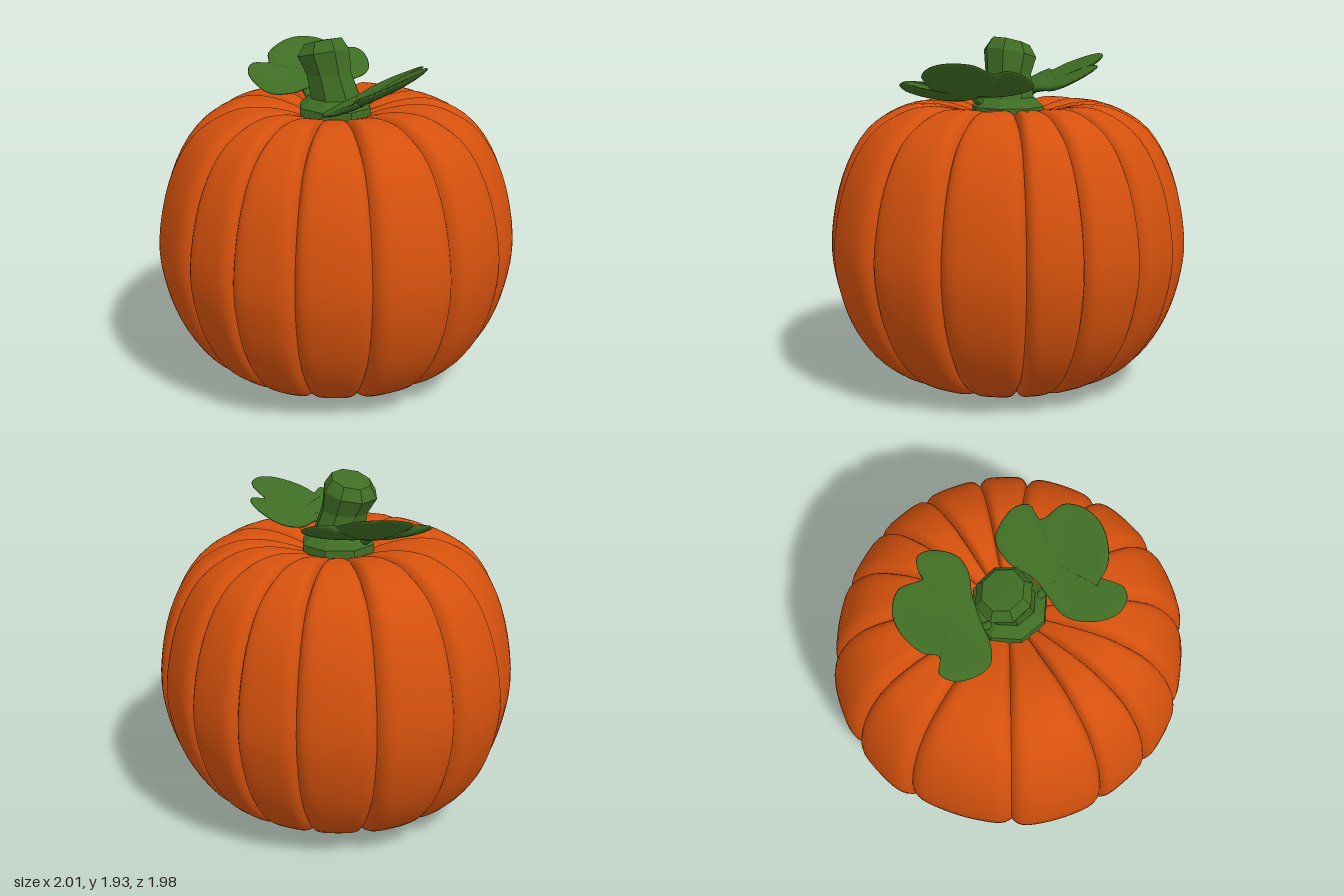
import * as THREE from 'three';
import { mergeGeometries } from 'three/addons/utils/BufferGeometryUtils.js';

const orange = new THREE.MeshStandardMaterial({ color: 0xd5510d });
orange.name = 'pumpkin orange';
const green = new THREE.MeshStandardMaterial({ color: 0x3f6d24 });
green.name = 'leaf green';
const stemGreen = green.clone();
stemGreen.flatShading = true;

// Skin over rows of points, listed from top to bottom
function loft(rows, closed) {
  const n = rows[0].length, pos = [], index = [];
  rows.forEach(row => row.forEach(p => pos.push(p.x, p.y, p.z)));
  for (let i = 0; i < rows.length - 1; i++) {
    for (let j = 0; j < (closed ? n : n - 1); j++) {
      const k = (j + 1) % n;
      const a = i * n + j, b = i * n + k, c = a + n, d = b + n;
      index.push(a, b, c, b, d, c);
    }
  }
  const g = new THREE.BufferGeometry();
  g.setAttribute('position', new THREE.Float32BufferAttribute(pos, 3));
  g.setIndex(index);
  g.computeVertexNormals();
  return g;
}

// Body: one smooth lobe between each pair of grooves, creased where they meet
function makeBody() {
  const profile = new THREE.SplineCurve([
    [0, 1.47], [0.12, 1.48], [0.25, 1.53], [0.42, 1.565], [0.6, 1.545], [0.8, 1.42],
    [0.94, 1.17], [1.007, 0.84], [0.98, 0.58], [0.895, 0.35], [0.75, 0.16], [0.55, 0.045],
    [0.34, 0.005], [0.16, 0.02], [0, 0.035]
  ].map(p => new THREE.Vector2(...p)));
  // groove angle in degrees, and how flat the lobe after it is
  const lobes = [[-90, 0.985], [-69, 0.99], [-51, 0.99], [-25, 1], [0, 1], [27, 0.98], [50.5, 0.99],
    [71, 0.98], [90, 0.985], [121, 0.965], [156, 1], [180, 1], [206.5, 0.98], [231, 0.98], [250.6, 0.985]];
  const ROWS = 56, COLS = 18;
  const parts = lobes.map(([start, flat], i) => {
    const end = i + 1 < lobes.length ? lobes[i + 1][0] : 270;
    const rows = [];
    for (let v = 0; v <= ROWS; v++) {
      const p = profile.getPoint(v / ROWS), tan = profile.getTangent(v / ROWS);
      // grooves fade towards the poles, more gently underneath
      const fade = THREE.MathUtils.smoothstep(p.x, 0.03, p.y > 0.8 ? 0.35 : 0.6);
      const row = [];
      for (let u = 0; u <= COLS; u++) {
        const t = Math.sin((u / COLS - 0.5) * Math.PI);
        const angle = THREE.MathUtils.degToRad(start + (end - start) * (t + 1) / 2);
        const depth = 0.06 * fade * Math.pow(Math.abs(t), 7);
        const swell = 1 - (1 - flat) * (1 - Math.pow(t, 4));
        const r = Math.max(0, (p.x + tan.y * depth) * swell);
        row.push(new THREE.Vector3(r * Math.cos(angle), p.y - tan.x * depth, r * Math.sin(angle)));
      }
      rows.push(row);
    }
    return loft(rows, false);
  });
  const mesh = new THREE.Mesh(mergeGeometries(parts), orange);
  mesh.name = 'pumpkinBody';
  return mesh;
}

// Stem: faceted, flared at the foot, leaning, with a slanted cut top
function makeStem() {
  // centre x, y, z, radius, slant
  const sections = [
    [-0.065, 1.905, 0.04, 0, 0.3], [-0.06, 1.898, 0.04, 0.11, 0.3], [-0.055, 1.835, 0.04, 0.15, 0.25],
    [-0.025, 1.73, 0.025, 0.13, 0.1], [0, 1.6, 0, 0.145, 0], [0, 1.55, 0, 0.205, 0], [0, 1.45, 0, 0.215, 0]
  ];
  const rows = sections.map(([x, y, z, r, slant]) => Array.from({ length: 8 }, (_, j) => {
    const a = (j + 0.3) / 8 * Math.PI * 2;
    const dx = r * Math.cos(a);
    return new THREE.Vector3(x + dx, y + slant * dx, z + r * Math.sin(a));
  }));
  const mesh = new THREE.Mesh(loft(rows, true), stemGreen);
  mesh.name = 'stem';
  return mesh;
}

// Leaf: a puffy, slightly cupped three-lobed pad rising away from the stem
function makeLeaf(name, outline, cx, cz) {
  const curve = new THREE.CatmullRomCurve3(
    outline.map(([x, z]) => new THREE.Vector3(x, 0, z)), true, 'centripetal');
  const rim = curve.getPoints(72).slice(0, 72);
  const steps = [0, 0.3, 0.6, 0.8, 0.92, 0.98, 1];
  const ring = (s, side) => rim.map(p => {
    const x = cx + (p.x - cx) * s, z = cz + (p.z - cz) * s;
    const puff = 0.022 * Math.sqrt(1 - Math.pow(s, 4)) * side;
    const cup = 0.03 * (s * s - 0.6);
    return new THREE.Vector3(x, 1.625 + 0.39 * (Math.abs(x) - 0.2) - 0.24 * z + puff + cup, z);
  });
  const rows = [...steps.map(s => ring(s, 1)), ...steps.slice(0, -1).reverse().map(s => ring(s, -1))];
  const mesh = new THREE.Mesh(loft(rows, true), green);
  mesh.name = name;
  return mesh;
}

// Short stalk joining a leaf to the stem foot
function makeStalk(name, side) {
  const path = new THREE.CatmullRomCurve3([
    new THREE.Vector3(0.08 * side, 1.54, 0.03),
    new THREE.Vector3(0.17 * side, 1.58, 0.05),
    new THREE.Vector3(0.25 * side, 1.63, 0.03)
  ]);
  const mesh = new THREE.Mesh(new THREE.TubeGeometry(path, 8, 0.022, 8), green);
  mesh.name = name;
  return mesh;
}

export function createModel() {
  const model = new THREE.Group();
  model.name = 'pumpkin';
  const leftOutline = [[0.17, -0.02], [0.1, -0.17], [0.11, -0.31], [0.25, -0.375], [0.335, -0.34],
    [0.345, -0.245], [0.48, -0.235], [0.565, -0.13], [0.578, 0], [0.51, 0.14], [0.41, 0.2],
    [0.51, 0.26], [0.505, 0.33], [0.43, 0.37], [0.3, 0.325], [0.2, 0.22], [0.18, 0.085]];
  const rightOutline = [[-0.155, -0.1], [-0.1, -0.235], [-0.11, -0.325], [-0.21, -0.395], [-0.3, -0.395],
    [-0.34, -0.315], [-0.337, -0.278], [-0.476, -0.273], [-0.567, -0.18], [-0.588, -0.075], [-0.545, 0.06],
    [-0.476, 0.112], [-0.524, 0.19], [-0.476, 0.25], [-0.37, 0.273], [-0.26, 0.246], [-0.2, 0.14],
    [-0.19, 0.06]].reverse();
  model.add(
    makeBody(),
    makeStem(),
    makeLeaf('leftLeaf', leftOutline, 0.3, -0.02),
    makeLeaf('rightLeaf', rightOutline, -0.31, -0.06),
    makeStalk('leftStalk', 1),
    makeStalk('rightStalk', -1)
  );
  return model;
}
